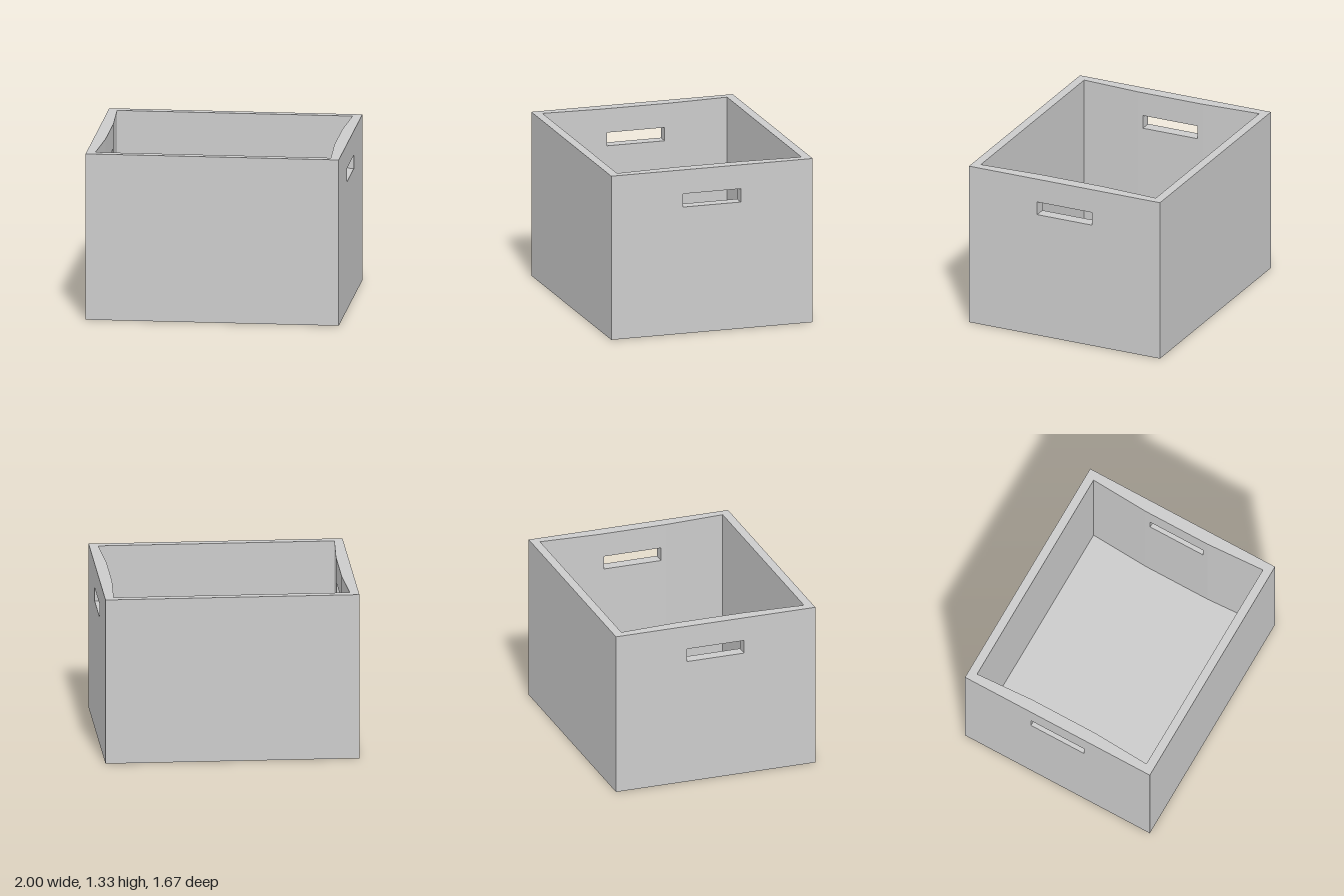
import * as THREE from 'three';

const W = 1, D = 0.833, H = 1.333;      // outer half width, half depth, height
const IW = 0.93, ID = 0.763;            // inner half width at the corners, half depth
const GRIP = 0.904, GZ = 0.28;          // inner half width and half length of the thick grip panel
const FLOOR = 0.07;
const HZ = 0.238, HY0 = 1.03, HY1 = 1.138; // handle slot

// Skins a series of closed rings with flat quads.
function loft(rings) {
  const pos = [];
  for (let r = 0; r + 1 < rings.length; r++) {
    const A = rings[r], B = rings[r + 1], n = A.length;
    for (let i = 0; i < n; i++) {
      const j = (i + 1) % n;
      pos.push(...A[i], ...A[j], ...B[j], ...A[i], ...B[j], ...B[i]);
    }
  }
  const g = new THREE.BufferGeometry();
  g.setAttribute('position', new THREE.Float32BufferAttribute(pos, 3));
  g.computeVertexNormals();
  return g;
}

// Upright rectangle at a given x.
const sideRect = (x, hz, y0, y1) => [[x, y0, hz], [x, y0, -hz], [x, y1, -hz], [x, y1, hz]];

// Eight-point level ring: corners plus the ends of the grip panels.
const levelRing = (w, d, mid, y) => [
  [w, y, d], [mid, y, GZ], [mid, y, -GZ], [w, y, -d],
  [-w, y, -d], [-mid, y, -GZ], [-mid, y, GZ], [-w, y, d],
];

export function createModel() {
  const group = new THREE.Group();
  const mat = new THREE.MeshStandardMaterial({ color: 0xcccccc, flatShading: true, side: THREE.DoubleSide });
  const add = (name, geo, parent = group) => {
    const m = new THREE.Mesh(geo, mat);
    m.name = name;
    parent.add(m);
    return m;
  };
  const plane = (a, b, y0, y1) => {
    // vertical panel between two plan points [x, z]
    const p = [a[0], y0, a[1]], q = [b[0], y0, b[1]], r = [b[0], y1, b[1]], s = [a[0], y1, a[1]];
    const g = new THREE.BufferGeometry();
    g.setAttribute('position', new THREE.Float32BufferAttribute([...p, ...q, ...r, ...p, ...r, ...s], 3));
    g.computeVertexNormals();
    return g;
  };

  // Half the box, repeated by a half turn: one slotted side wall and one plain wall
  ['left', 'right'].forEach((side, k) => {
    const half = new THREE.Group();
    half.name = side + 'Half';
    half.rotation.y = k * Math.PI;
    group.add(half);

    // Outer face, slot sleeve and inner grip panel in one skin
    add(side + 'HandleWall', loft([
      sideRect(W, D, 0, H),
      sideRect(W, HZ, HY0, HY1),
      sideRect(GRIP, HZ, HY0, HY1),
      sideRect(GRIP, GZ, FLOOR, H),
    ]), half);

    // Tapered inner faces either side of the grip
    add(side + 'TaperFront', plane([GRIP, GZ], [IW, ID], FLOOR, H), half);
    add(side + 'TaperBack', plane([IW, -ID], [GRIP, -GZ], FLOOR, H), half);

    // Plain wall, outside and inside
    const wall = k ? 'back' : 'front';
    add(wall + 'WallOuter', plane([-W, D], [W, D], 0, H), half);
    add(wall + 'WallInner', plane([IW, ID], [-IW, ID], FLOOR, H), half);
  });

  // Flat top rim
  add('rim', loft([levelRing(W, D, W, H), levelRing(IW, ID, GRIP, H)]));

  // Inside floor, following the tapered walls
  const inner = levelRing(IW, ID, GRIP, 0);
  const floorShape = new THREE.Shape(inner.map(([x, , z]) => new THREE.Vector2(x, -z)));
  add('floor', new THREE.ShapeGeometry(floorShape).rotateX(-Math.PI / 2)).position.y = FLOOR;

  // Underside
  add('base', new THREE.PlaneGeometry(2 * W, 2 * D).rotateX(Math.PI / 2));

  return group;
}
